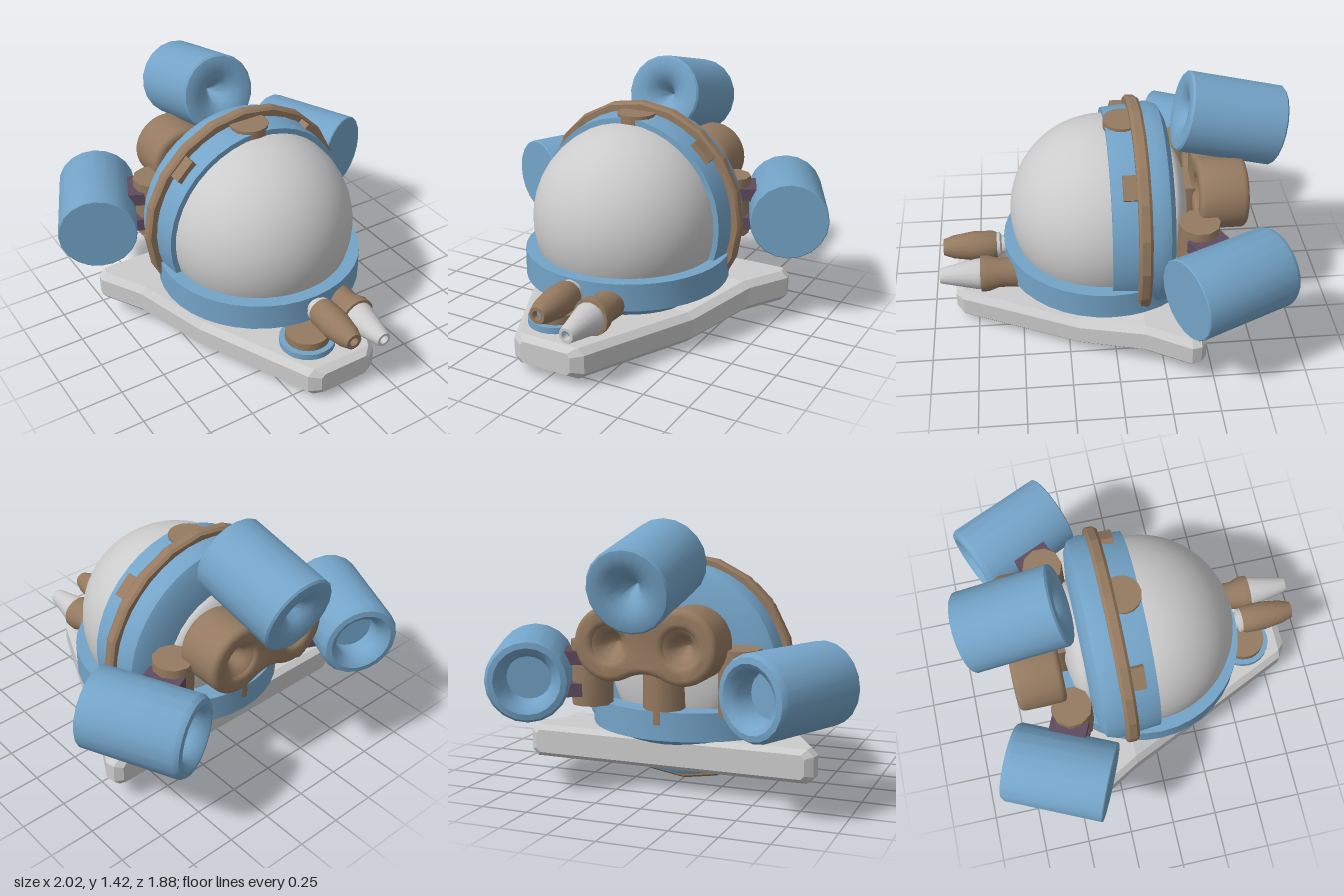
import * as THREE from 'three';
import { toCreasedNormals } from 'three/addons/utils/BufferGeometryUtils.js';

const paint = (color) => new THREE.MeshStandardMaterial({ color });
const grey = paint(0xcccccc), blue = paint(0x74a4c8), brown = paint(0x957a60), purple = paint(0x5f4c5f);
const CY = 0.615; // height of the cabin axis

export function createModel() {
  const model = new THREE.Group();

  const add = (name, geometry, material, x = 0, y = 0, z = 0) => {
    const mesh = new THREE.Mesh(geometry, material);
    mesh.name = name;
    mesh.position.set(x, y, z);
    model.add(mesh);
    return mesh;
  };
  // Turned part about y, or about z when alongZ is set; points are [radius, along]
  const turn = (points, sides = 20, alongZ = true, crease = 0.6) => {
    const g = new THREE.LatheGeometry(points.map(([r, a]) => new THREE.Vector2(r, a)), sides);
    if (alongZ) g.rotateX(Math.PI / 2);
    return toCreasedNormals(g, crease);
  };

  // Wedge-shaped deck, lofted through octagonal sections from front to back
  const stations = [ // z, half width, bottom, top, chamfer
    [0.87, 0.15, 0.065, 0.185, 0.02], [0.83, 0.21, 0.04, 0.21, 0.035],
    [0.2, 0.5, 0.04, 0.21, 0.035], [-0.14, 0.67, 0.12, 0.295, 0.035],
    [-0.37, 0.8, 0.12, 0.295, 0.035], [-0.42, 0.79, 0.12, 0.295, 0.035],
    [-0.45, 0.75, 0.145, 0.27, 0.02],
  ];
  const rows = stations.map(([z, w, b, t, c]) => [
    [w, b + c], [w, t - c], [w - c, t], [c - w, t], [-w, t - c], [-w, b + c], [c - w, b], [w - c, b],
  ].map(([x, y]) => [x, y, z]));
  const verts = [];
  const tri = (...corners) => corners.forEach((p) => verts.push(...p));
  for (let i = 0; i < rows.length - 1; i++) {
    for (let j = 0; j < 8; j++) {
      const k = (j + 1) % 8, f = rows[i], r = rows[i + 1];
      tri(f[j], r[j], r[k]);
      tri(f[j], r[k], f[k]);
    }
  }
  const last = rows[rows.length - 1];
  for (let k = 1; k < 7; k++) {
    tri(rows[0][0], rows[0][k], rows[0][k + 1]);
    tri(last[0], last[k + 1], last[k]);
  }
  const deck = new THREE.BufferGeometry();
  deck.setAttribute('position', new THREE.Float32BufferAttribute(verts, 3));
  deck.computeVertexNormals();
  add('deck', deck, grey);

  // Collar holding the cabin
  add('baseCollar', turn([[0, 0.2], [0.41, 0.2], [0.44, 0.24], [0.54, 0.3], [0.565, 0.3],
    [0.565, 0.45], [0.5, 0.45], [0, 0.45]], 40, false), blue, 0, 0, 0.02);

  // Cabin: dome, rear shell and rear bulge
  const dome = new THREE.SphereGeometry(0.52, 40, 16, 0, Math.PI * 2, 0, Math.PI / 2);
  add('dome', dome.rotateX(Math.PI / 2), grey, 0, CY, 0.02);
  add('rearShell', turn([[0, -0.33], [0.33, -0.33], [0.5, -0.31], [0.555, -0.28], [0.575, -0.22],
    [0.55, 0.02], [0.5, 0.02]], 40), blue, 0, CY);
  const bulge = new THREE.SphereGeometry(0.34, 28, 10, 0, Math.PI * 2, 0, Math.PI / 2);
  add('rearBulge', bulge.rotateX(-Math.PI / 2).scale(1, 1, 0.3), grey, 0, CY, -0.325);

  // Hoop around the cabin with its clips
  add('hoop', turn([[0.53, -0.18], [0.6, -0.18], [0.612, -0.165], [0.612, -0.125], [0.6, -0.11],
    [0.53, -0.11], [0.53, -0.18]], 20, true, 0.25), brown, 0, CY);
  add('topClip', toCreasedNormals(new THREE.CylinderGeometry(0.105, 0.105, 0.06, 16), 0.5),
    brown, 0, 1.15, -0.075);
  for (const s of [-1, 1]) {
    const clip = add('sideClip', new THREE.BoxGeometry(0.13, 0.05, 0.09), brown, s * 0.395, CY + 0.395, -0.085);
    clip.rotation.z = -s * Math.PI / 4;
  }

  // Upper thruster, dished at both ends
  const dish = [[0, 0.12], [0.03, 0.17], [0.07, 0.225], [0.12, 0.255], [0.17, 0.265], [0.205, 0.26], [0.215, 0.25]];
  const upper = add('upperThruster', turn([...dish.map(([r, a]) => [r, -a]), ...[...dish].reverse()], 20),
    blue, 0, 1.155, -0.64);
  upper.rotation.x = -0.23;

  // Side thrusters with open nozzles, posts and brackets
  const nozzle = turn([[0, -0.14], [0.115, -0.14], [0.12, -0.22], [0.14, -0.26], [0.17, -0.28], [0.2, -0.275],
    [0.215, -0.25], [0.215, 0.275], [0.21, 0.28], [0, 0.28]], 20);
  const post = toCreasedNormals(new THREE.CylinderGeometry(0.11, 0.11, 0.34, 10), 0.8);
  for (const s of [-1, 1]) {
    add('sideThruster', nozzle, blue, s * 0.7, CY, -0.57).rotation.y = s * 0.43;
    add('sidePost', post, brown, s * 0.41, CY, -0.44);
    for (const y of [0.53, 0.7]) {
      const bracket = add('bracket', new THREE.BoxGeometry(0.16, 0.07, 0.2), purple, s * 0.53, y, -0.49);
      bracket.rotation.y = s * 0.43;
    }
  }
  add('centrePost', new THREE.CylinderGeometry(0.11, 0.11, 0.4, 10), brown, 0, 0.58, -0.44);

  // Two-lobed engine block with a dished hole in each lobe
  const R = 0.16, L = 0.19, lobes = new THREE.Shape();
  lobes.absarc(L, 0, R, -2, 2, false);
  lobes.quadraticCurveTo(0, 0.08, -L - R * Math.cos(2), R * Math.sin(2));
  lobes.absarc(-L, 0, R, Math.PI - 2, Math.PI + 2, false);
  lobes.quadraticCurveTo(0, -0.08, L + R * Math.cos(2), -R * Math.sin(2));
  for (const s of [-1, 1]) {
    lobes.holes.push(new THREE.Path().absarc(s * L, 0, 0.12, 0, Math.PI * 2, true));
  }
  const block = new THREE.ExtrudeGeometry(lobes, {
    depth: 0.2, bevelThickness: 0.03, bevelSize: 0.03, bevelSegments: 3, curveSegments: 12,
  });
  add('engineBlock', toCreasedNormals(block, 0.7), brown, 0, 0.81, -0.68);
  const funnel = turn([[0, 0], [0.035, -0.03], [0.06, -0.08], [0.095, -0.115], [0.125, -0.12]], 20, true, 1);
  for (const s of [-1, 1]) {
    for (const back of [true, false]) {
      const f = add('engineDish', funnel, brown, s * L, 0.81, -0.58);
      if (!back) f.rotation.y = Math.PI;
    }
  }

  // Round pad on the nose
  const disc = (r, h) => toCreasedNormals(new THREE.CylinderGeometry(r, r, h, 24), 0.5);
  add('padRim', disc(0.15, 0.05), blue, -0.08, 0.22, 0.63);
  add('pad', disc(0.12, 0.1), brown, -0.08, 0.24, 0.63);

  // Centre nose tool
  add('toolNeck', turn([[0.05, 0.5], [0.05, 0.6], [0.07, 0.61], [0.07, 0.64]], 16), grey, 0, 0.385);
  add('toolBody', turn([[0, 0.615], [0.065, 0.615], [0.08, 0.65], [0.082, 0.76], [0.065, 0.87], [0.045, 0.925],
    [0.025, 0.925], [0.02, 0.88], [0, 0.88]], 16), brown, 0, 0.385);
  add('toolTip', disc(0.018, 0.03).rotateX(Math.PI / 2), blue, 0, 0.385, 0.88);

  // Offset nose tool with a tapered tip
  add('nozzleBody', turn([[0, 0.48], [0.085, 0.48], [0.08, 0.62], [0.1, 0.68], [0.1, 0.72], [0, 0.73]], 16),
    brown, 0.18, 0.33);
  add('nozzleCone', turn([[0.085, 0.72], [0.085, 0.74], [0.045, 0.93], [0.04, 0.945], [0.025, 0.945],
    [0.025, 0.89], [0, 0.89]], 16), grey, 0.18, 0.33);
  add('nozzleTip', disc(0.022, 0.03).rotateX(Math.PI / 2), blue, 0.18, 0.33, 0.89);

  return model;
}
